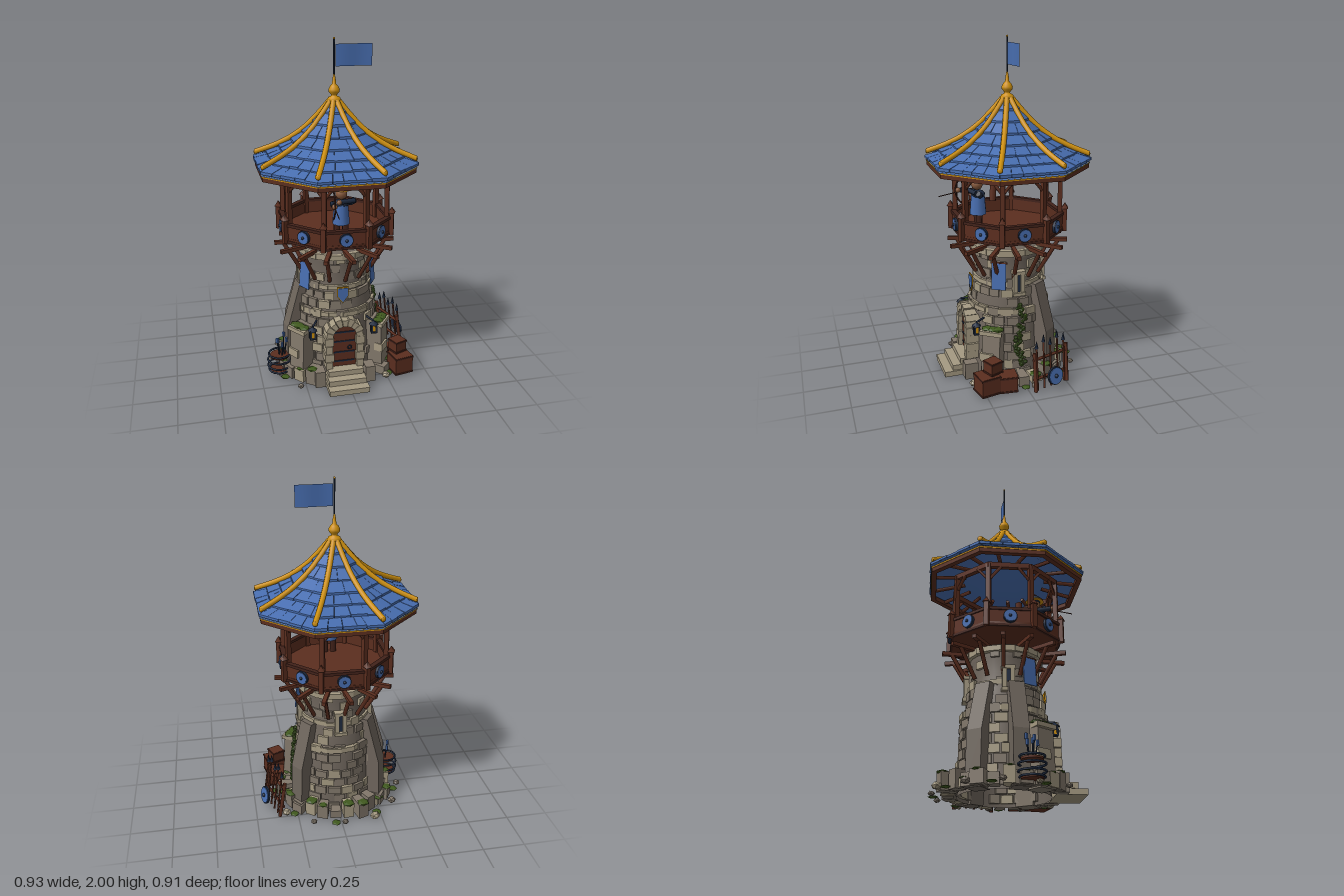
import * as THREE from 'three';
import { mergeGeometries } from 'three/addons/utils/BufferGeometryUtils.js';

const V = (x, y, z) => new THREE.Vector3(x, y, z);
const mat = (name, color, side = THREE.FrontSide) => {
  const m = new THREE.MeshStandardMaterial({ color, side });
  m.name = name;
  return m;
};
let seed = 7;
const rnd = (a = 0, b = 1) => {
  seed = (seed * 16807) % 2147483647;
  return a + (b - a) * seed / 2147483647;
};
const lerp = THREE.MathUtils.lerp, rad = THREE.MathUtils.degToRad;

// unit box whose corners are moved by a rule (u, v, w in 0..1)
function warp(rule) {
  const g = new THREE.BoxGeometry(1, 1, 1), p = g.attributes.position;
  for (let i = 0; i < p.count; i++) {
    const q = rule(p.getX(i) + 0.5, p.getY(i) + 0.5, p.getZ(i) + 0.5);
    p.setXYZ(i, q.x, q.y, q.z);
  }
  g.computeVertexNormals();
  return g;
}
const polar = (a, r, y) => V(Math.sin(a) * r, y, Math.cos(a) * r);
// curved wall stone
const stone = (a0, a1, y0, y1, r0, r1) => warp((u, v, w) => polar(lerp(a0, a1, u), lerp(r0, r1, w), lerp(y0, y1, v)));
const box = (w, h, d, x, y, z, ry = 0) => new THREE.BoxGeometry(w, h, d).rotateY(ry).translate(x, y, z);
const ball = (r, x, y, z, sx = 1, sy = 1, sz = 1) => new THREE.SphereGeometry(r, 14, 10).scale(sx, sy, sz).translate(x, y, z);
const lump = (r, x, y, z, sy = 1) => new THREE.IcosahedronGeometry(r, 0).rotateY(rnd(0, 6)).scale(1, sy, 1).translate(x, y, z);
function rod(p, q, r, n = 6) {
  const d = q.clone().sub(p), g = new THREE.CylinderGeometry(r, r, d.length(), n);
  g.applyQuaternion(new THREE.Quaternion().setFromUnitVectors(V(0, 1, 0), d.normalize()));
  return g.translate((p.x + q.x) / 2, (p.y + q.y) / 2, (p.z + q.z) / 2);
}
const lathe = (pts, n) => new THREE.LatheGeometry(pts.map(([r, y]) => new THREE.Vector2(r, y)), n);
const T8 = Math.tan(Math.PI / 8), C8 = Math.cos(Math.PI / 8);
const times = (n, f) => Array.from({ length: n }, (_, i) => f(i, i / n * Math.PI * 2)).flat();
// mitred eight-sided ring
const octRing = (a0, a1, y0, y1) => times(8, (i, t) => warp((u, v, w) => {
  const a = lerp(a0, a1, w);
  return V((u * 2 - 1) * a * T8, lerp(y0, y1, v), a);
}).rotateY(t));

export function createModel() {
  const root = new THREE.Group();
  root.name = 'watchtower';
  const body = new THREE.Group();
  body.name = 'tower';
  body.position.x = -0.018;
  root.add(body);

  const mid = mat('stone', 0x82786b), light = mat('pale stone', 0xa59a82), dark = mat('dark stone', 0x6e655c, THREE.DoubleSide);
  const wood = mat('wood', 0x5b2e1f), darkWood = mat('dark wood', 0x42221a), blue = mat('blue', 0x486eb0, THREE.DoubleSide);
  const navy = mat('iron', 0x1f2b40), gold = mat('gold', 0xcf910f), green = mat('moss', 0x40591f), skin = mat('skin', 0x85583b);
  const part = (name, m, geos) => {
    const mesh = new THREE.Mesh(mergeGeometries(geos.map(g => g.index ? g.toNonIndexed() : g)), m);
    mesh.name = name;
    body.add(mesh);
  };

  // tower wall with raised stones
  const profile = [[0.255, 0], [0.245, 0.2], [0.232, 0.42], [0.205, 0.55], [0.19, 0.65], [0.195, 0.74], [0.2, 0.81]];
  const wallR = y => {
    const i = Math.max(1, profile.findIndex(p => p[1] >= y)), [a, b] = [profile[i - 1], profile[i]];
    return lerp(a[0], b[0], (y - a[1]) / (b[1] - a[1]));
  };
  part('towerWall', dark, [lathe([...profile, [0, 0.81]], 32)]);
  const bins = [[], [], []];
  for (let row = 0; row < 14; row++) {
    const y0 = 0.02 + row * 0.055, n = 20, off = row % 2 * 0.15;
    for (let i = 0; i < n; i++) {
      const a = (i / n) * Math.PI * 2 + off, front = Math.cos(a) > 0.88 && y0 < 0.4;
      if (front || rnd() > (y0 < 0.42 ? 0.85 : 0.45)) continue;
      const r = wallR(y0 + 0.025);
      bins[Math.floor(rnd(0, 3))].push(stone(a, a + rnd(0.24, 0.3), y0, y0 + rnd(0.044, 0.052), r - 0.02, r + rnd(0.006, 0.02)));
    }
  }
  [mid, light, mid].forEach((m, i) => part('wallStones', m, bins[i]));
  const band = (y0, y1, r, n) => times(n, (i, t) => stone(t, t + 6.2 / n, y0, y1 + rnd(-0.004, 0.004), r - 0.05, r + rnd(-0.004, 0.004)));
  part('stoneBands', light, [...band(0.415, 0.445, 0.248, 18), ...band(0.575, 0.6, 0.212, 16), ...band(0.765, 0.8, 0.225, 18)]);

  // buttresses: three tall, two short
  const buttress = (deg, pts, w) => {
    const s = new THREE.Shape(pts.map(p => new THREE.Vector2(...p)));
    return new THREE.ExtrudeGeometry(s, { depth: w, bevelEnabled: false }).translate(0, 0, -w / 2).rotateY(rad(deg - 90));
  };
  const tallAt = [125, 235, 280], shortAt = [55, 305];
  const tall = [[0.23, 0], [0.33, 0], [0.32, 0.3], [0.24, 0.58], [0.17, 0.58]];
  const short = [[0.23, 0], [0.34, 0], [0.325, 0.31], [0.27, 0.35], [0.2, 0.35]];
  part('tallButtresses', dark, tallAt.map(d => buttress(d, tall, 0.09)));
  part('shortButtresses', mid, shortAt.map(d => buttress(d, short, 0.11)));
  part('buttressCaps', light, shortAt.flatMap(d => [stone(rad(d) - 0.2, rad(d) + 0.2, 0.315, 0.34, 0.22, 0.345), stone(rad(d) - 0.19, rad(d) + 0.05, 0.15, 0.2, 0.25, 0.345)]));
  part('buttressFeet', mid, tallAt.map(d => stone(rad(d) - 0.17, rad(d) + 0.17, 0.005, 0.075, 0.24, 0.35)));

  // rubble ring and loose stones at the foot
  const foot = [[], [], []], moss = [];
  for (let i = 0; i < 26; i++) {
    const a = i / 26 * Math.PI * 2;
    if (Math.cos(a) > 0.88) continue;
    const h = rnd(0.05, 0.11), r = rnd(0.33, 0.375), q = rnd(0.385, 0.41);
    foot[i % 3].push(stone(a, a + rnd(0.17, 0.22), 0.008, h, 0.27, r));
    if (i % 2) foot[(i + 1) % 3].push(lump(rnd(0.02, 0.032), Math.sin(a) * q, 0.02, Math.cos(a) * q, 0.7));
    if (i % 3) { const p = polar(a + 0.1, r - 0.02, h); moss.push(lump(rnd(0.025, 0.04), p.x, p.y, p.z, 0.3)); }
    else { const p = polar(a + 0.1, 0.38, 0.012); moss.push(lump(0.03, p.x, p.y, p.z, 0.25)); }
  }
  [mid, light, mid].forEach((m, i) => part('footStones', m, foot[i]));
  [49, 56, 62, 298, 304, 311].forEach(d => { const p = polar(rad(d), 0.3, 0.345); moss.push(lump(0.036, p.x, p.y, p.z, 0.35)); });
  part('moss', green, moss);
  part('ivy', green, times(56, i => {
    const y = 0.1 + i * 0.0068, p = polar(Math.PI / 2 + Math.sin(y * 20) * 0.06 + rnd(-0.09, 0.06), wallR(y) + 0.022, y);
    return lump(rnd(0.009, 0.016), p.x, p.y, p.z, 0.8);
  }));

  // doorway, steps, lanterns
  const arch = (w, h) => {
    const s = new THREE.Shape();
    s.moveTo(-w, 0.1); s.lineTo(w, 0.1); s.lineTo(w, h); s.absarc(0, h, w, 0, Math.PI); s.lineTo(-w, 0.1);
    return s;
  };
  part('door', wood, [new THREE.ExtrudeGeometry(arch(0.072, 0.305), { depth: 0.03, bevelEnabled: false }).translate(0, 0, 0.24)]);
  part('doorIron', navy, [0.14, 0.2, 0.27, 0.33].map(y => box(0.125, 0.008, 0.006, 0, y, 0.272)).concat(new THREE.TorusGeometry(0.011, 0.004, 6, 12).translate(0.032, 0.23, 0.277)));
  const archStones = times(9, i => {
    const a0 = i * Math.PI / 9, a1 = a0 + 0.32;
    return warp((u, v, w) => { const a = lerp(a1, a0, u), r = lerp(0.072, 0.112 + i % 2 * 0.01, v); return V(Math.cos(a) * r, 0.305 + Math.sin(a) * r, lerp(0.2, 0.295, w)); });
  });
  const sides = [-1, 1];
  sides.forEach(s => times(4, i => archStones.push(box(0.04 + i % 2 * 0.014, 0.048, 0.08, s * 0.093, 0.125 + i * 0.052, 0.257))));
  part('doorArch', light, archStones);
  part('steps', light, [0, 1, 2].map(i => box(0.24 - i * 0.015, 0.032, 0.17 - i * 0.05, 0, 0.022 + i * 0.034, 0.345 - i * 0.025)));
  part('stepSides', mid, sides.map(s => box(0.06, 0.1, 0.08, s * 0.152, 0.055, 0.28)));
  part('lanternFrames', navy, sides.flatMap(s => [
    box(0.036, 0.008, 0.036, s * 0.185, 0.3, 0.25), new THREE.ConeGeometry(0.03, 0.024, 6).translate(s * 0.185, 0.362, 0.25),
    rod(V(s * 0.15, 0.38, 0.19), V(s * 0.185, 0.372, 0.25), 0.006),
    ...[-1, 1].flatMap(i => [-1, 1].map(k => box(0.01, 0.055, 0.01, s * 0.185 + i * 0.013, 0.327, 0.25 + k * 0.013)))]));
  part('lanternLights', gold, sides.map(s => box(0.022, 0.045, 0.022, s * 0.185, 0.327, 0.25)));

  // arrow slits, banners and crest
  const slits = [90, 180, 270].map(rad);
  part('slitFrames', light, slits.flatMap(t => [-0.022, 0.022].map(x => box(0.024, 0.13, 0.05, x, 0.6, 0.205).rotateY(t)).concat(box(0.076, 0.02, 0.055, 0, 0.665, 0.205).rotateY(t), box(0.076, 0.02, 0.055, 0, 0.535, 0.21).rotateY(t))));
  part('slits', navy, slits.map(t => box(0.02, 0.12, 0.01, 0, 0.6, 0.213).rotateY(t)));
  const banners = [60, 300].map(rad);
  part('sideBanners', blue, banners.map(t => warp((u, v, w) => V((u - 0.5) * 0.085, 0.57 + v * 0.16, 0.226 + w * 0.006 + (1 - v) * 0.012)).rotateY(t)));
  part('bannerRods', wood, banners.map(t => rod(V(-0.05, 0.732, 0.228), V(0.05, 0.732, 0.228), 0.006).rotateY(t)));
  const crest = k => {
    const s = new THREE.Shape([[0, 0.498], [0.033, 0.545], [0.033, 0.6], [-0.033, 0.6], [-0.033, 0.545]].map(([x, y]) => new THREE.Vector2(x * k, 0.55 + (y - 0.55) * k)));
    return new THREE.ExtrudeGeometry(s, { depth: 0.006, bevelEnabled: false });
  };
  part('crestTrim', gold, [crest(1.03).translate(0, 0, 0.226)]);
  part('crest', blue, [crest(0.88).translate(0, 0, 0.23)]);

  // corbel beams and struts below the deck
  part('corbelBeams', wood, times(14, (i, t) => box(0.024, 0.022, 0.2, 0, 0.805, 0.26).rotateY(t + 0.1)));
  part('corbelStruts', wood, times(14, (i, t) => rod(polar(t + 0.1, 0.205, 0.63), polar(t + 0.1, 0.305, 0.8), 0.0125, 5)));

  // deck, parapet, shields
  part('deck', wood, [new THREE.CylinderGeometry(0.31 / C8, 0.31 / C8, 0.025, 8, 1, false, Math.PI / 8).translate(0, 0.882, 0)]);
  part('parapet', wood, octRing(0.292, 0.308, 0.87, 0.97));
  part('parapetRails', darkWood, [...octRing(0.286, 0.316, 0.965, 0.982), ...octRing(0.3, 0.314, 0.868, 0.882)]);
  const corner = i => Math.PI / 8 + i * Math.PI / 4;
  part('parapetPosts', wood, times(8, i => [box(0.028, 0.14, 0.026, 0, 0.935, 0.342).rotateY(corner(i)), new THREE.ConeGeometry(0.028, 0.035, 4, 1, false, Math.PI / 4).translate(0, 1.022, 0.342).rotateY(corner(i))]));
  const disc = (r, h, z) => times(8, (i, t) => new THREE.CylinderGeometry(r, r, h, 18).rotateX(Math.PI / 2).translate(0, 0.926, z).rotateY(t));
  part('shieldRims', navy, disc(0.039, 0.014, 0.318));
  part('shields', blue, disc(0.034, 0.012, 0.322));
  part('shieldBosses', navy, times(8, (i, t) => ball(0.009, 0, 0.926, 0.329).rotateY(t)));

  // roof posts, braces, rafters
  part('roofPosts', wood, times(8, i => box(0.027, 0.38, 0.027, 0, 1.07, 0.312).rotateY(corner(i))));
  part('braces', wood, times(8, i => [-1, 1].map(s => rod(polar(corner(i), 0.312, 1.16), polar(corner(i) + s * 0.24, 0.3, 1.25), 0.0095, 4))));
  part('ringBeam', wood, octRing(0.275, 0.303, 1.24, 1.27));
  part('rafters', wood, times(16, (i, t) => rod(polar(t + Math.PI / 16, 0.24, 1.3), polar(t + Math.PI / 16, 0.44, 1.268), 0.012, 5)));

  // curved eight-sided roof: underlay, lining, tiles
  const roof = [[0.45, 1.296], [0.375, 1.33], [0.305, 1.368], [0.24, 1.41], [0.175, 1.462], [0.12, 1.52], [0.07, 1.58], [0.02, 1.645]];
  const shell = drop => lathe(roof.map(([a, y]) => [(a - 0.004) / C8, y - drop]), 8).rotateY(Math.PI / 8);
  part('roofUnderlay', navy, [shell(0)]);
  part('roofLining', blue, [shell(0.012)]);
  const tiles = [];
  for (let f = 0; f < 8; f++) for (let k = 0; k < 7; k++) {
    const [a0, y0] = roof[k], [a1, y1] = roof[k + 1], n = Math.max(1, Math.round(a0 * 2 * T8 / 0.08));
    const cuts = [0];
    for (let i = 1; i < n; i++) cuts.push((i + rnd(-0.22, 0.22) + (k % 2 ? 0.2 : -0.1)) / n);
    cuts.push(1);
    for (let i = 0; i < n; i++) {
      const lift = rnd(0.012, 0.018), hang = rnd(-0.002, 0.003);
      tiles.push(warp((u, v, w) => {
        const a = lerp(a1, a0 + hang, w), e = 0.0009;
        const x = (lerp(cuts[i], cuts[i + 1], u) * 2 - 1) * a * T8 + (u < 0.5 ? e : -e);
        return V(x, lerp(y1, y0, w) + v * lerp(0.005, lift, w), a);
      }).rotateY(f * Math.PI / 4));
    }
  }
  part('roofTiles', blue, tiles);
  part('eaves', wood, octRing(0.41, 0.44, 1.252, 1.278));
  part('eavesTrim', gold, octRing(0.425, 0.443, 1.276, 1.286));
  const ridge = new THREE.CatmullRomCurve3([[0.437, 1.335], [0.33, 1.38], [0.24, 1.43], [0.15, 1.502], [0.08, 1.58], [0.025, 1.65]].map(([a, y]) => V(0, y, a / C8)));
  part('ridges', gold, times(8, i => [new THREE.TubeGeometry(ridge, 18, 0.0155, 8), ball(0.0155, 0, 1.335, 0.473, 1, 1, 0.5)].map(g => g.rotateY(corner(i)))));

  // finial, pole and flag
  part('finial', gold, [lathe([[0, 1.63], [0.034, 1.635], [0.039, 1.652], [0.034, 1.668], [0.016, 1.676], [0.018, 1.685], [0.031, 1.7], [0.032, 1.714], [0.022, 1.732], [0.012, 1.742], [0.009, 1.77], [0.004, 1.8], [0, 1.8]], 20), ball(0.006, 0, 1.992, 0)]);
  part('flagPole', navy, [rod(V(0, 1.78, 0), V(0, 1.988, 0), 0.005)]);
  const flag = new THREE.PlaneGeometry(0.21, 0.122, 16, 1).translate(0.113, 1.9, 0), fp = flag.attributes.position;
  for (let i = 0; i < fp.count; i++) fp.setZ(i, Math.sin(fp.getX(i) * 30) * 0.003);
  flag.computeVertexNormals();
  part('flag', blue, [flag]);

  // archer on the deck
  part('archerTunic', blue, [new THREE.CylinderGeometry(0.04, 0.05, 0.12, 10).translate(0, 1.04, 0.18)]);
  part('archerSleeves', navy, [rod(V(-0.05, 1.1, 0.18), V(-0.06, 1.115, 0.27), 0.016), rod(V(0.05, 1.1, 0.18), V(0.075, 1.12, 0.2), 0.018), rod(V(0.07, 1.12, 0.21), V(-0.02, 1.125, 0.24), 0.014), ball(0.052, 0, 1.1, 0.18, 1, 0.45, 0.8)]);
  part('archerLegs', darkWood, sides.map(s => rod(V(s * 0.025, 0.89, 0.18), V(s * 0.025, 1, 0.18), 0.02)));
  part('quiver', wood, [rod(V(0.03, 1.06, 0.1), V(0.02, 1.18, 0.09), 0.02, 8)]);
  part('archerHead', skin, [ball(0.034, 0, 1.158, 0.185), ball(0.016, -0.06, 1.115, 0.285), ball(0.015, -0.025, 1.125, 0.245)]);
  part('archerCap', navy, [ball(0.036, 0, 1.193, 0.185, 1, 0.9, 1)]);
  part('archerBrim', gold, [new THREE.CylinderGeometry(0.05, 0.055, 0.008, 16).translate(0, 1.186, 0.185)]);
  part('bow', darkWood, [new THREE.TorusGeometry(0.1, 0.005, 5, 16, 1.9).rotateZ(-0.95).rotateY(-Math.PI / 2).translate(-0.06, 1.115, 0.2), rod(V(-0.055, 1.12, 0.2), V(-0.06, 1.085, 0.4), 0.003, 5)]);

  // crates
  const crates = [[0.115, 0.36, 0.067, 0.238, 0.2], [0.1, 0.365, 0.06, 0.115, -0.1], [0.078, 0.352, 0.164, 0.2, 0.4]];
  part('crates', wood, crates.map(([s, x, y, z, r]) => box(s, s - 0.002, s, x, y, z, r)));
  part('crateSlats', darkWood, crates.flatMap(([s, x, y, z, r]) => sides.map(k => box(s + 0.006, 0.01, s + 0.006, x, y + k * (s / 2 - 0.008), z, r))));

  // spear rack set askew, with a leaning shield
  const racks = times(5, i => -0.04 - i * 0.047), R = (x, y, z) => V(x + 0.02 + (z + 0.03) * 0.32, y, z);
  part('rackFrame', wood, [rod(R(0.41, 0.08, -0.02), R(0.41, 0.08, -0.26), 0.009), rod(R(0.4, 0.2, -0.02), R(0.4, 0.2, -0.26), 0.009), ...[-0.03, -0.25].map(z => rod(R(0.43, 0.01, z), R(0.395, 0.24, z), 0.012)), ...racks.map((z, i) => rod(R(0.435, 0.02, z), R(0.405, 0.27 + i % 2 * 0.03, z), 0.006))]);
  part('spearTips', navy, racks.map((z, i) => { const p = R(0.402, 0.295 + i % 2 * 0.03, z); return new THREE.ConeGeometry(0.012, 0.05, 4).translate(p.x, p.y, p.z); }));
  const lean = (r, h, dx) => new THREE.CylinderGeometry(r, r, h, 20).rotateZ(-Math.PI / 2 + 0.2).rotateY(0.32).translate(0.455 + dx, 0.1, -0.145 - dx * 0.3);
  part('rackShieldRim', navy, [lean(0.053, 0.012, 0)]);
  part('rackShield', blue, [lean(0.047, 0.012, 0.004)]);
  part('rackShieldBoss', navy, [ball(0.012, 0.465, 0.102, -0.148)]);

  // hooped arrow barrel
  part('barrelHoops', navy, [0.035, 0.062, 0.1, 0.138].map((y, i) => new THREE.TorusGeometry(i % 3 ? 0.07 : 0.064, 0.006, 6, 20).rotateX(Math.PI / 2).translate(-0.365, y, 0.1)));
  part('barrelLids', wood, [0.125, 0.03].map(y => new THREE.CylinderGeometry(0.058, 0.058, 0.012, 14).translate(-0.365, y, 0.1)));
  const shafts = times(5, (i, t) => [[polar(t, 0.015, 0.12), polar(t, 0.03, 0.21 + i % 3 * 0.02)].map(p => p.add(V(-0.35, 0, 0.1)))]);
  part('arrows', navy, shafts.map(([p, q]) => rod(p, q, 0.004, 5)));
  part('arrowFletching', blue, shafts.map(([, q]) => box(0.012, 0.03, 0.012, q.x, q.y, q.z, 0.6)));
  return root;
}
